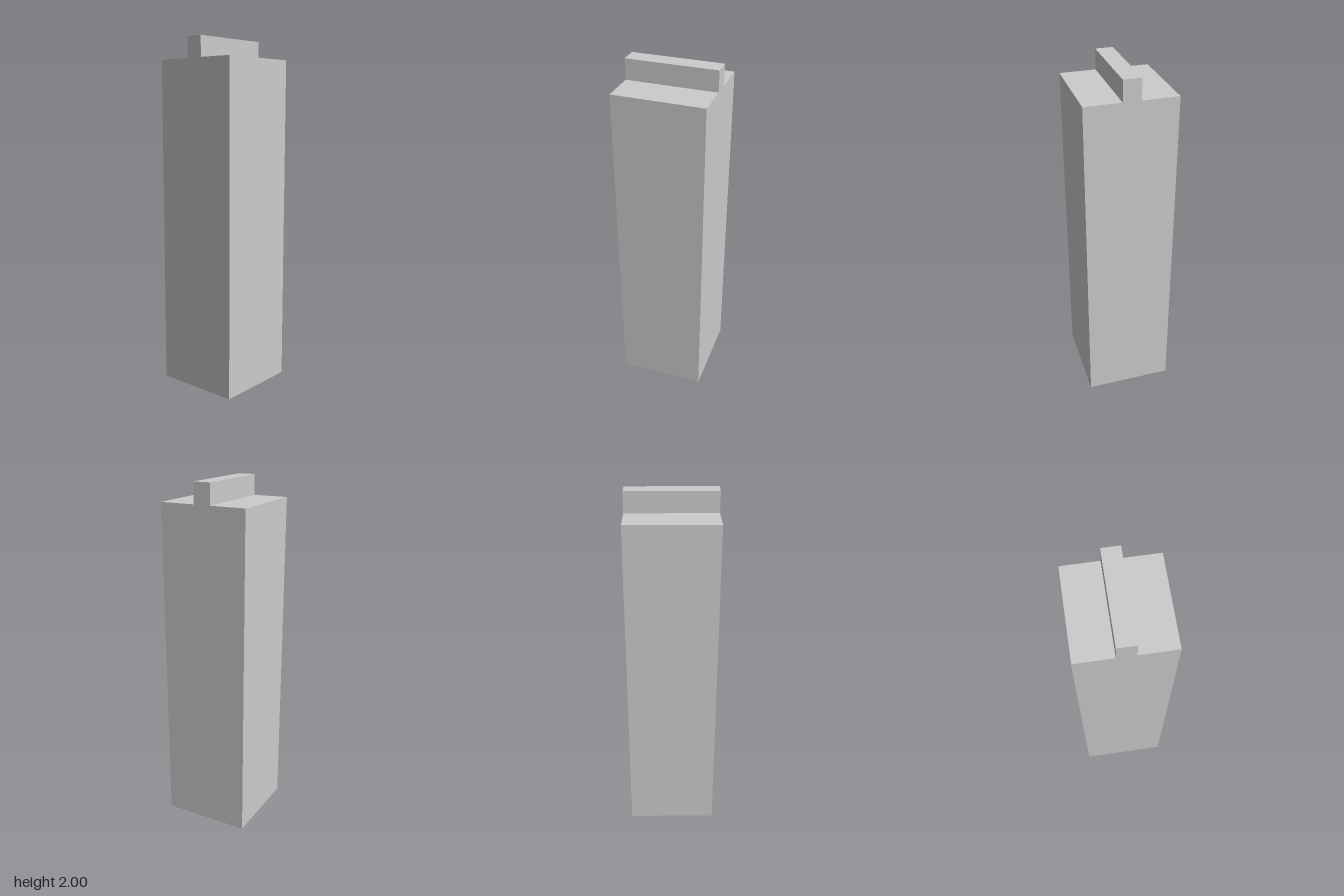
import * as THREE from 'three';

const HALF = 0.251;      // half width of the square column
const SHOULDER = 1.885;  // height of the flat shoulders
const RIDGE = 0.049;     // half thickness of the top ridge
const TOP = 2;

export function createModel() {
  const group = new THREE.Group();
  group.name = 'ridgedPillar';

  // Side profile: square column with a narrow tongue on top
  const right = [[HALF, 0], [HALF, SHOULDER], [RIDGE, SHOULDER], [RIDGE, TOP]];
  const left = right.map(([x, y]) => [-x, y]).reverse();
  const profile = new THREE.Shape([...right, ...left].map(([x, y]) => new THREE.Vector2(x, y)));

  // Extrude the profile across the width, so the ridge runs along x
  const geometry = new THREE.ExtrudeGeometry(profile, { depth: 2 * HALF, bevelEnabled: false });
  geometry.translate(0, 0, -HALF);
  geometry.rotateY(Math.PI / 2);

  const pillar = new THREE.Mesh(geometry, new THREE.MeshStandardMaterial({ color: 0xcccccc, flatShading: true }));
  pillar.name = 'pillarWithTongue';
  group.add(pillar);
  return group;
}
